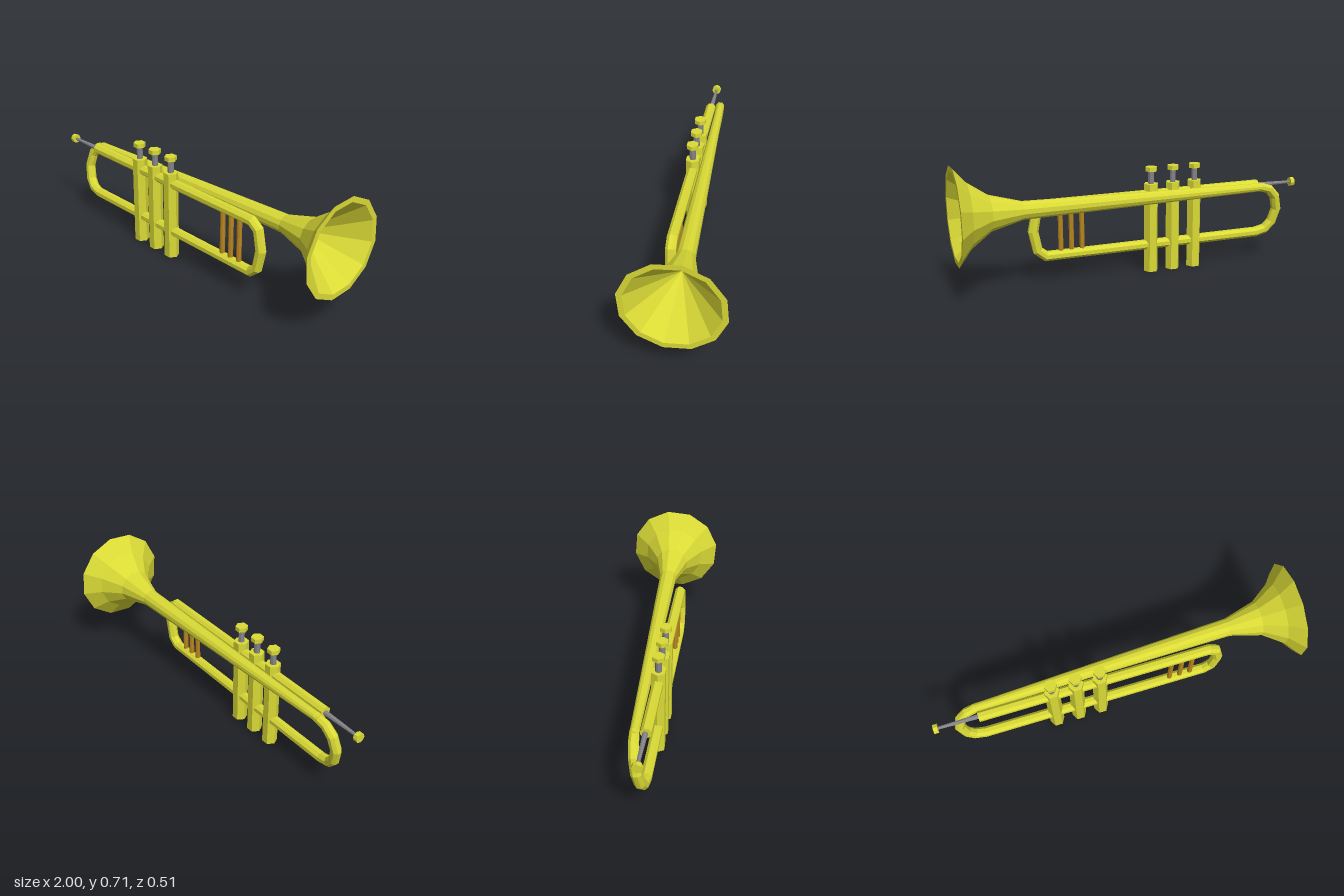
import * as THREE from 'three';

const material = (name, color) => Object.assign(new THREE.MeshStandardMaterial({ color }), { name });

// Faceted normals without touching the material
function facet(geometry) {
  const g = geometry.index ? geometry.toNonIndexed() : geometry;
  g.computeVertexNormals();
  return g;
}

// Sweeps a polygon along stations [x, y, z, radius]; a fixed tangent keeps rings parallel
function sweep(stations, sides, turn, fixedTangent) {
  const pts = stations.map(([x, y, z]) => new THREE.Vector3(x, y, z));
  const dir = (a, b) => pts[b] && pts[a] ? pts[b].clone().sub(pts[a]).normalize() : new THREE.Vector3();
  const pos = [], index = [];
  pts.forEach((p, i) => {
    const t = fixedTangent || dir(i - 1, i).add(dir(i, i + 1)).normalize();
    const n = new THREE.Vector3(0, 0, 1).cross(t).normalize();
    const b = t.clone().cross(n);
    for (let j = 0; j < sides; j++) {
      const a = turn + j / sides * Math.PI * 2;
      const v = p.clone().addScaledVector(n, Math.cos(a) * stations[i][3])
        .addScaledVector(b, Math.sin(a) * stations[i][3]);
      pos.push(v.x, v.y, v.z);
      if (i < pts.length - 1) {
        const k = (j + 1) % sides, r = i * sides, q = r + sides;
        index.push(r + j, r + k, q + j, r + k, q + k, q + j);
      }
    }
  });
  const g = new THREE.BufferGeometry();
  g.setAttribute('position', new THREE.Float32BufferAttribute(pos, 3));
  g.setIndex(index);
  return facet(g);
}

export function createModel() {
  const model = new THREE.Group();
  model.name = 'trumpet';
  const gold = material('yellow brass', 0xdada36);
  const steel = material('grey steel', 0x85858a);
  const bronze = material('bronze', 0xb8861f);
  const Z = 0.091;

  function add(name, geometry, mat, parent = model) {
    const mesh = new THREE.Mesh(geometry, mat);
    mesh.name = name;
    parent.add(mesh);
    return mesh;
  }
  // Upright prism between two heights, with a corner pointing along x
  function post(name, x, y0, y1, r, sides, mat, parent) {
    const g = new THREE.CylinderGeometry(r, r, y1 - y0, sides).rotateY(Math.PI / 2);
    add(name, facet(g), mat, parent).position.set(x, (y0 + y1) / 2, Z);
  }

  // Main tube: upper run, front bend, lower run, rear bend leaning over to the bell
  const R = 0.029;
  add('mainTube', sweep([
    [-0.76, 0.443, Z, 0], [-0.76, 0.443, Z, R],
    [0.51, 0.443, Z, R], [0.555, 0.41, Z, R], [0.577, 0.3, Z, R],
    [0.555, 0.193, Z, R], [0.51, 0.156, Z, R],
    [-0.76, 0.156, Z, R], [-0.82, 0.172, 0.086, R], [-0.858, 0.215, 0.077, R],
    [-0.879, 0.295, 0.064, R], [-0.858, 0.375, 0.051, R],
    [-0.815, 0.422, 0.042, 0.027], [-0.75, 0.44, 0.036, 0.025],
  ], 8, Math.PI / 8), gold);

  // Bell: long taper, flare, flat rim and hollow cone
  add('bell', sweep([
    [-0.78, 0.438, 0.037, 0], [-0.78, 0.438, 0.037, 0.023],
    [0.65, 0.448, 0, 0.049], [0.82, 0.45, 0, 0.095], [0.93, 0.45, 0, 0.173],
    [1, 0.45, 0, 0.26], [1, 0.45, 0, 0.231], [0.75, 0.45, 0, 0],
  ], 12, -0.192, new THREE.Vector3(1, 0, 0)), gold);

  // Mouthpiece
  const mouthpiece = new THREE.Group();
  mouthpiece.name = 'mouthpiece';
  model.add(mouthpiece);
  const shank = new THREE.CylinderGeometry(0.008, 0.014, 0.23, 8).rotateZ(Math.PI / 2);
  add('mouthpieceShank', facet(shank), steel, mouthpiece).position.set(-0.865, 0.441, Z - 0.003);
  const cup = new THREE.CylinderGeometry(0.026, 0.026, 0.024, 8).rotateZ(Math.PI / 2);
  add('mouthpieceCup', facet(cup), gold, mouthpiece).position.set(-0.988, 0.441, Z - 0.003);

  // Three valves with stems and buttons
  [-0.36, -0.229, -0.098].forEach((x, i) => {
    const valve = new THREE.Group();
    valve.name = `valve${i + 1}`;
    model.add(valve);
    post('valveCasing', x, 0, 0.506, 0.041, 6, gold, valve);
    post('valveStem', x, 0.5, 0.58, 0.017, 8, steel, valve);
    post('valveButton', x, 0.576, 0.6, 0.034, 6, gold, valve);
  });

  // Braces between the two runs of tube
  [0.306, 0.366, 0.426].forEach((x) => post('brace', x, 0.17, 0.43, 0.014, 8, bronze));

  return model;
}
